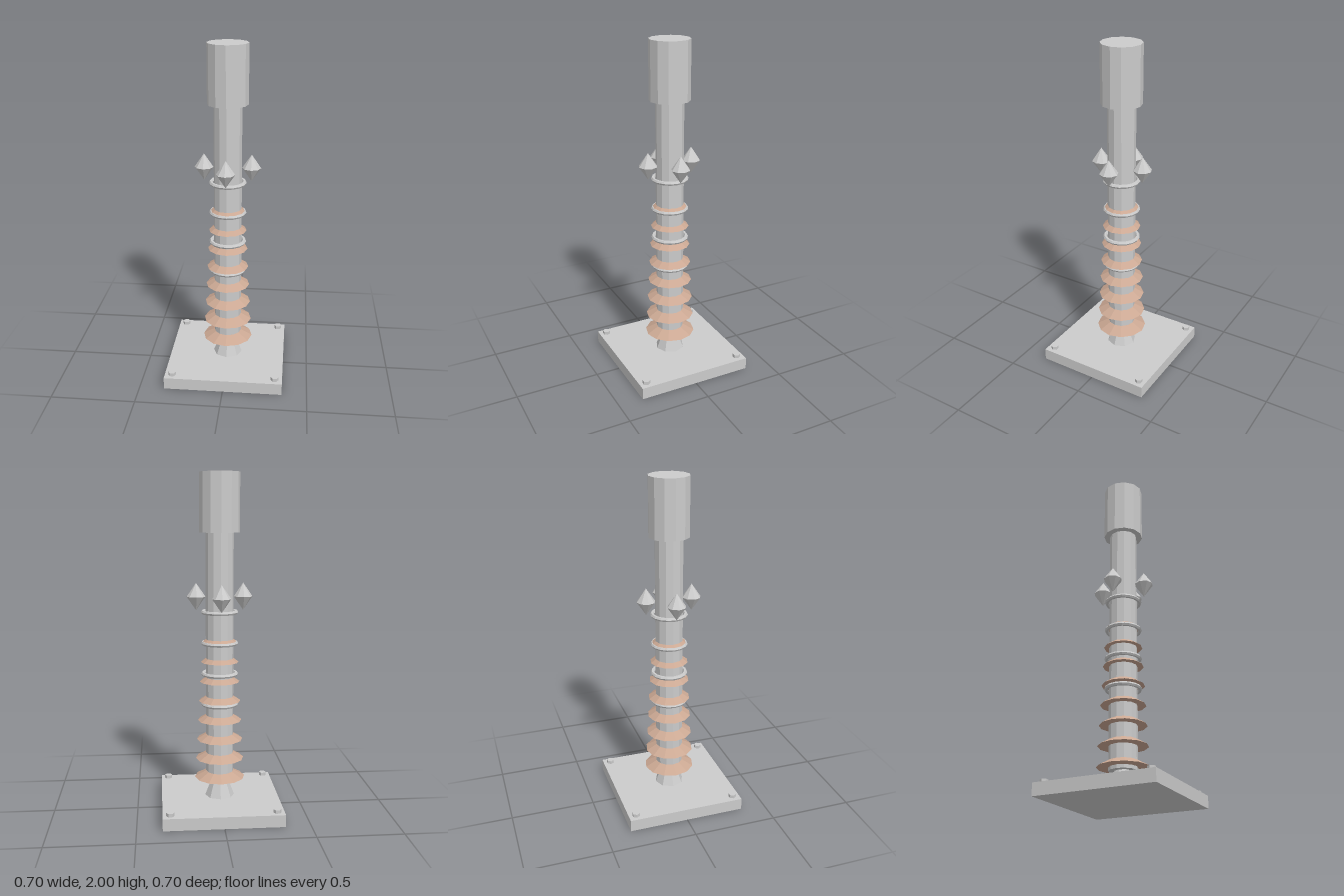
import * as THREE from 'three';

export function createModel() {
  const model = new THREE.Group();
  const steel = new THREE.MeshStandardMaterial({ color: 0xcccccc, flatShading: true });
  const copper = new THREE.MeshStandardMaterial({ color: 0xcba893, flatShading: true });

  const add = (name, geometry, material, x, y, z) => {
    const mesh = new THREE.Mesh(geometry, material);
    mesh.name = name;
    mesh.position.set(x, y, z);
    model.add(mesh);
    return mesh;
  };

  // Cylinder or frustum given by its bottom and top heights
  const drum = (name, rTop, rBottom, y0, y1, sides, material = steel, x = 0, z = 0) =>
    add(name, new THREE.CylinderGeometry(rTop, rBottom, y1 - y0, sides), material, x, (y0 + y1) / 2, z);

  // Base plate with a hexagonal bolt in each corner
  add('basePlate', new THREE.BoxGeometry(0.704, 0.072, 0.704), steel, 0, 0.036, 0);
  for (const x of [-0.308, 0.308]) {
    for (const z of [-0.308, 0.308]) {
      drum('bolt', 0.023, 0.023, 0.07, 0.092, 6, steel, x, z).rotation.y = Math.PI / 6;
    }
  }

  // Flared neck, long column and wide head
  drum('neck', 0.048, 0.088, 0.072, 0.175, 8);
  drum('column', 0.082, 0.082, 0.17, 1.67, 12);
  drum('head', 0.118, 0.118, 1.66, 2, 12);

  // Eight sloped copper fins, shrinking upwards
  for (let i = 0; i < 8; i++) {
    const r = 0.15 - i * 0.0063;
    const y = 0.19 + i * 0.1185;
    drum('fin', r * 0.55, r, y, y + 0.037, 12, copper);
  }

  // Four thin rings around the column
  for (let i = 0; i < 4; i++) {
    const ring = new THREE.TorusGeometry(0.098, 0.012, 6, 16);
    add('ring', ring, steel, 0, 0.645 + i * 0.1845, 0).rotation.x = Math.PI / 2;
  }

  // Four eight-sided double-pointed crystals
  const profile = [[0, -0.08], [0.055, 0], [0, 0.08]].map(([r, y]) => new THREE.Vector2(r, y));
  const crystal = new THREE.LatheGeometry(profile, 8);
  for (let i = 0; i < 4; i++) {
    const a = (i * Math.PI) / 2;
    add('crystal', crystal, steel, 0.138 * Math.cos(a), 1.29, 0.138 * Math.sin(a));
  }

  return model;
}
